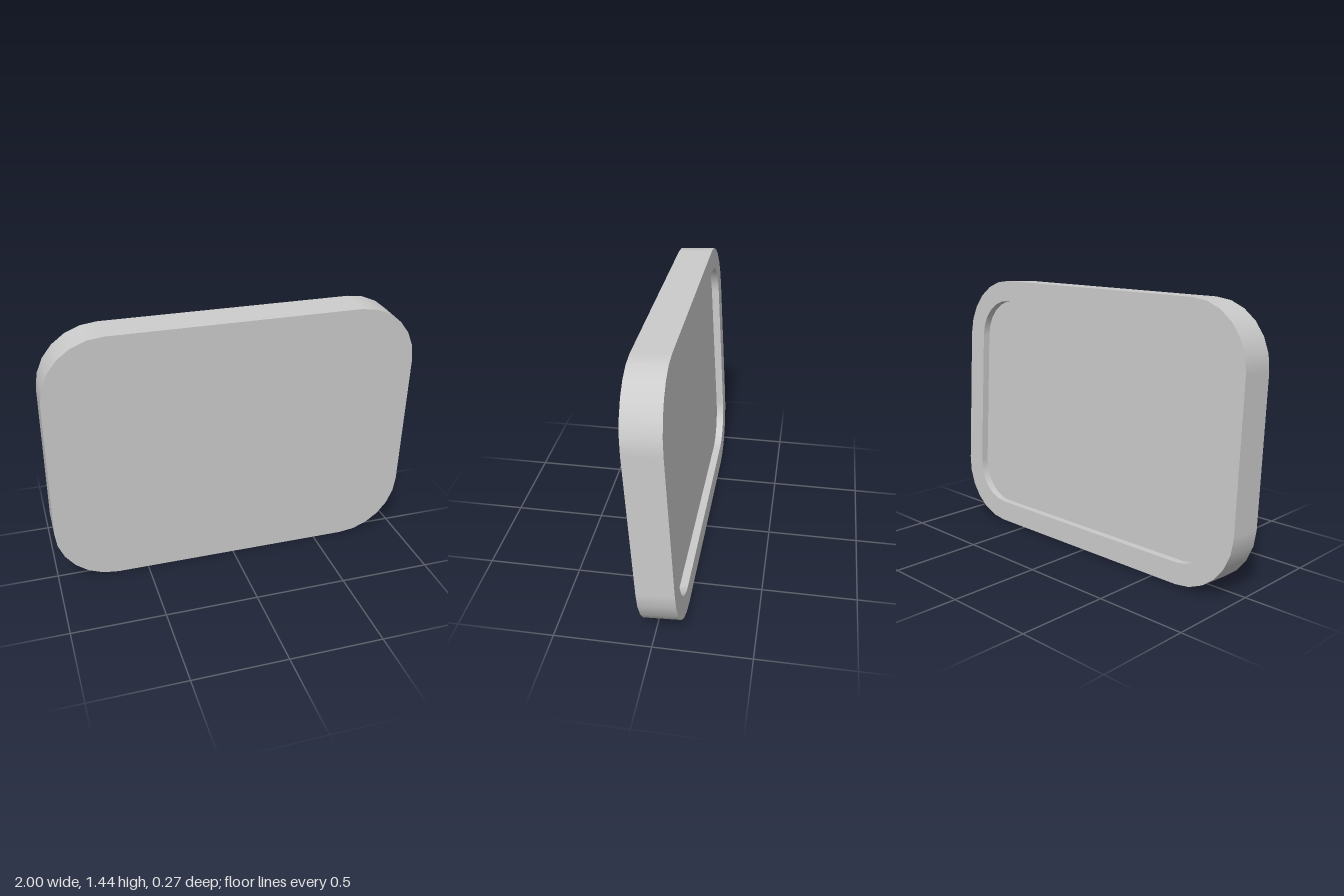
import * as THREE from 'three';

const W = 2, H = 1.434, T = 0.19;      // panel width, height, thickness
const R = 0.33, SEG = 6;               // corner radius and its steps
const RIM = 0.115, DEPTH = 0.042;      // rim width and recess depth
const TILT = 0.057;

// Rounded rectangle, anticlockwise, moved inward by inset; each point keeps its outward normal
function outline(inset) {
  const points = [];
  [[1, 1], [-1, 1], [-1, -1], [1, -1]].forEach(([sx, sy], corner) => {
    for (let i = 0; i <= SEG; i++) {
      const a = (corner + i / SEG) * Math.PI / 2;
      const n = new THREE.Vector2(Math.cos(a), Math.sin(a));
      points.push({
        n,
        p: new THREE.Vector2(sx * (W / 2 - R), sy * (H / 2 - R)).addScaledVector(n, R - inset),
      });
    }
  });
  return points;
}

// Smooth band along an outline from z0 (back) to z1 (front); side = 1 faces out, -1 faces in
function wall(loop, z0, z1, side) {
  const pos = [], nor = [], idx = [];
  loop.forEach(({ p, n }, i) => {
    pos.push(p.x, p.y, z0, p.x, p.y, z1);
    nor.push(side * n.x, side * n.y, 0, side * n.x, side * n.y, 0);
    const a = 2 * i, b = 2 * ((i + 1) % loop.length);
    if (side > 0) idx.push(a, b, b + 1, a, b + 1, a + 1);
    else idx.push(a, b + 1, b, a, a + 1, b + 1);
  });
  const g = new THREE.BufferGeometry();
  g.setAttribute('position', new THREE.Float32BufferAttribute(pos, 3));
  g.setAttribute('normal', new THREE.Float32BufferAttribute(nor, 3));
  g.setIndex(idx);
  return g;
}

// Flat face at depth z, optionally with a hole
function face(loop, z, facesBack, hole) {
  const shape = new THREE.Shape(loop.map(({ p }) => p));
  if (hole) shape.holes.push(new THREE.Path(hole.map(({ p }) => p)));
  const g = new THREE.ShapeGeometry(shape);
  if (facesBack) g.rotateY(Math.PI);
  return g.translate(0, 0, z);
}

export function createModel() {
  const material = new THREE.MeshStandardMaterial({ color: 0xcccccc });
  const outer = outline(0), inner = outline(RIM);
  const front = T / 2, back = -T / 2, floor = back + DEPTH;

  const panel = new THREE.Group();
  panel.name = 'panel';
  const parts = {
    frontFace: face(outer, front, false),
    outerEdge: wall(outer, back, front, 1),
    backRim: face(outer, back, true, inner),
    recessWall: wall(inner, back, floor, -1),
    recessFloor: face(inner, floor, true),
  };
  for (const [name, geometry] of Object.entries(parts)) {
    const mesh = new THREE.Mesh(geometry, material);
    mesh.name = name;
    panel.add(mesh);
  }

  // Lean the panel forward and rest its lower front edge on the ground
  panel.rotation.x = TILT;
  panel.position.y = (H * Math.cos(TILT) + T * Math.sin(TILT)) / 2;

  const model = new THREE.Group();
  model.name = 'tiltedPanel';
  model.add(panel);
  return model;
}
